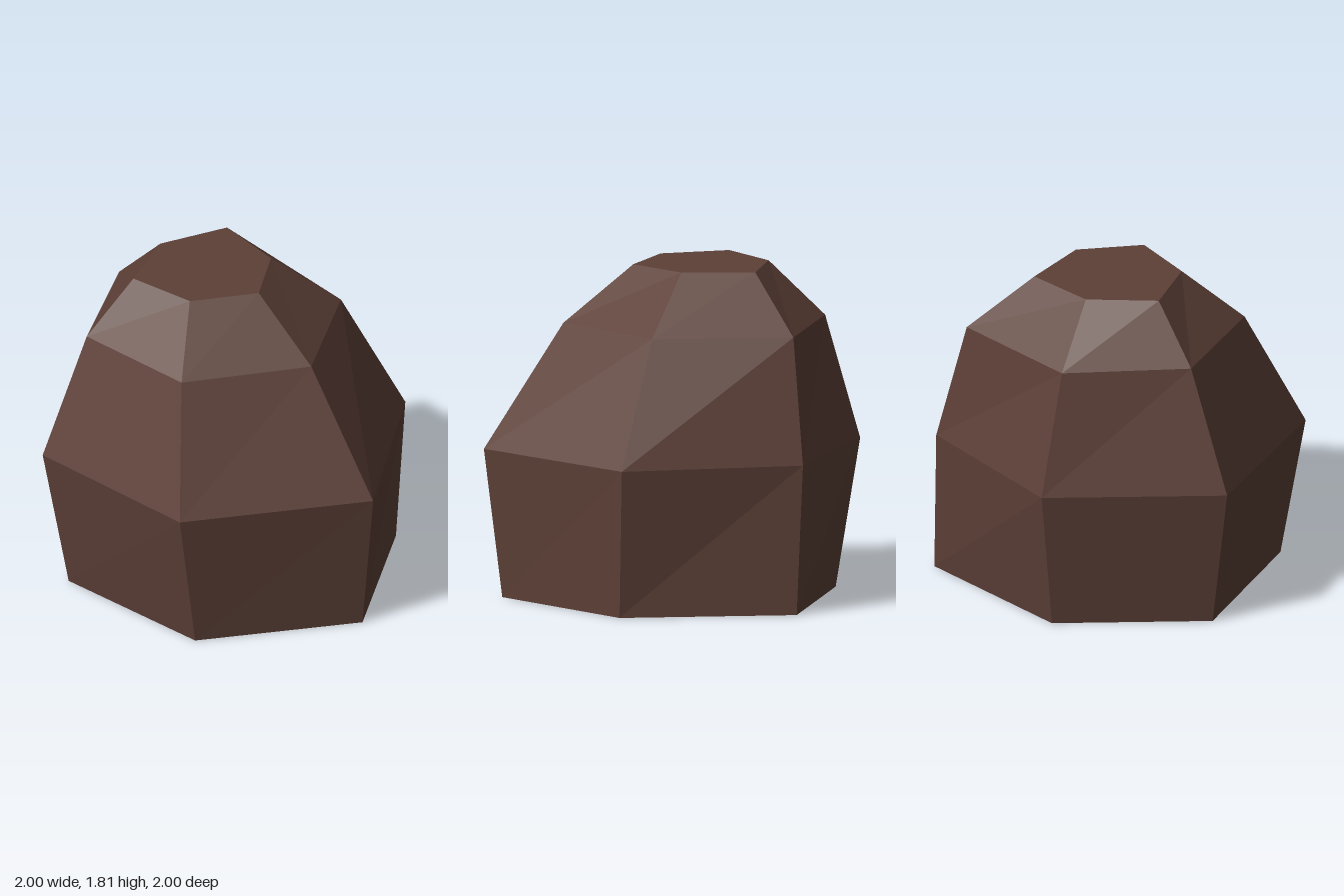
import * as THREE from 'three';

// Six-sided cross-sections from the ground up: height, then [x, z] corners
const SECTIONS = [
  { y: 0, ring: [[-0.22, -0.87], [0.73, -0.76], [0.93, 0.19], [0.32, 0.9], [-0.57, 0.62], [-0.86, -0.27]] },
  { y: 0.82, ring: [[-0.26, -1], [0.69, -0.79], [1, 0.17], [0.33, 1], [-0.7, 0.68], [-1, -0.31]] },
  { y: 1.5, ring: [[-0.24, -0.81], [0.53, -0.72], [0.67, 0.04], [0.18, 0.58], [-0.52, 0.38], [-0.73, -0.3]] },
  { y: 1.81, ring: [[-0.15, -0.51], [0.25, -0.48], [0.3, -0.08], [0.06, 0.21], [-0.31, 0.1], [-0.46, -0.26]] },
];

// Skin the cross-sections and close both ends
function loftGeometry(sections) {
  const n = sections[0].ring.length;
  const top = (sections.length - 1) * n;
  const positions = sections.flatMap(({ y, ring }) => ring.flatMap(([x, z]) => [x, y, z]));
  const index = [];
  for (let s = 0; s < top; s += n) {
    for (let i = 0; i < n; i++) {
      const a = s + i, b = s + (i + 1) % n;
      index.push(b, a, a + n, b, a + n, b + n);
    }
  }
  for (let i = 1; i < n - 1; i++) {
    index.push(0, i, i + 1);
    index.push(top, top + i + 1, top + i);
  }
  const indexed = new THREE.BufferGeometry();
  indexed.setAttribute('position', new THREE.Float32BufferAttribute(positions, 3));
  indexed.setIndex(index);
  const geometry = indexed.toNonIndexed();
  geometry.computeVertexNormals();
  return geometry;
}

export function createModel() {
  const group = new THREE.Group();
  group.name = 'rock';

  const darkBrown = new THREE.MeshStandardMaterial({ color: 0x5d4037, flatShading: true });
  darkBrown.name = 'dark brown stone';

  // Faceted boulder body
  const boulder = new THREE.Mesh(loftGeometry(SECTIONS), darkBrown);
  boulder.name = 'boulder';
  group.add(boulder);
  return group;
}
